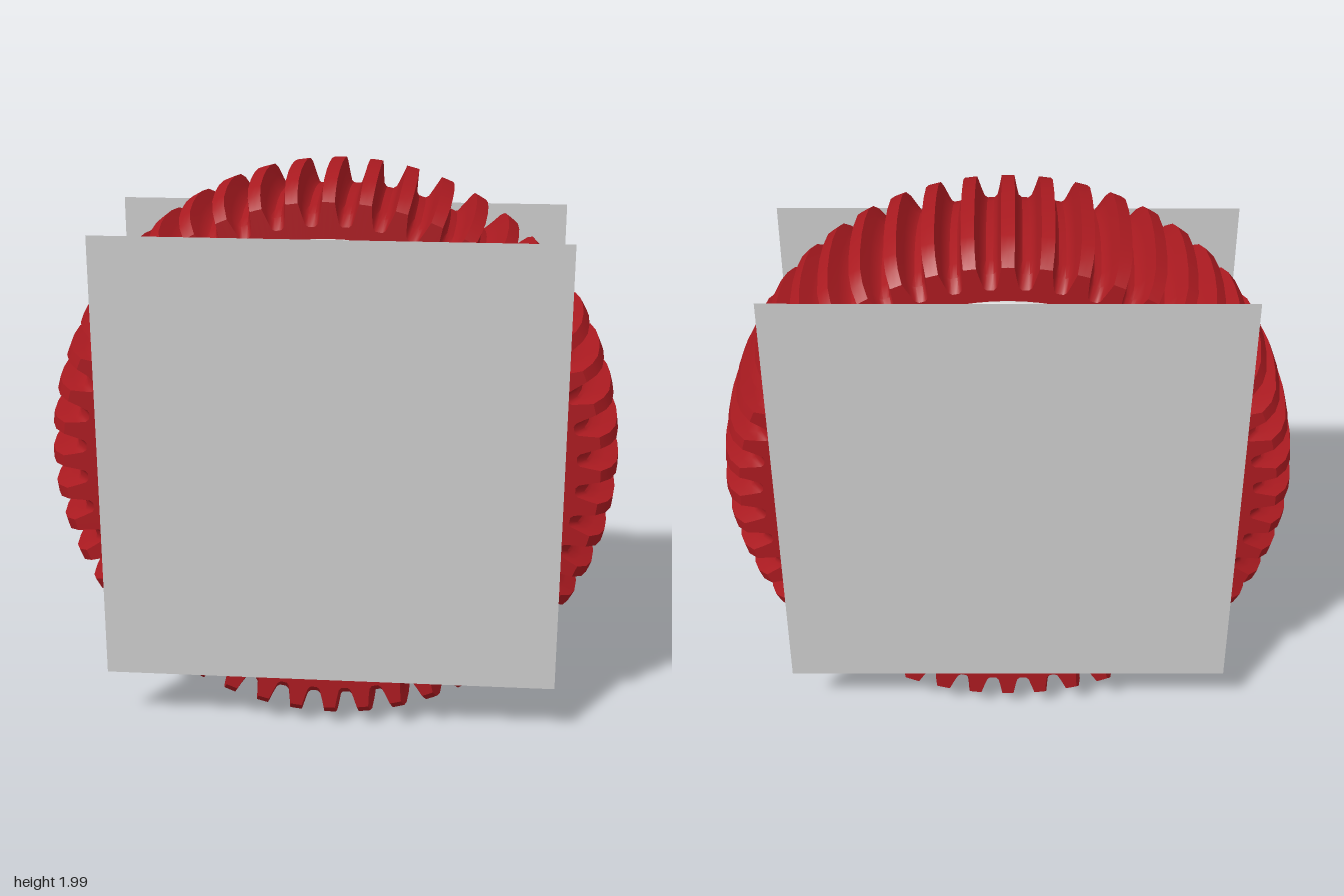
import * as THREE from 'three';
import { toCreasedNormals } from 'three/addons/utils/BufferGeometryUtils.js';

const TEETH = 48;

// One tooth around the rim: [fraction of the pitch, height from groove 0 to tip 1]
const TOOTH = [[-0.17, 1], [0, 1], [0.17, 1], [0.24, 0.5], [0.31, 0.12], [0.4, 0],
  [0.5, 0], [0.6, 0], [0.69, 0.12], [0.76, 0.5]];

// Half of the cross-section from the side to the middle: [z, groove radius, tip radius]
const HALF = [[0.3, 0.79, 0.79], [0.3, 0.84, 0.92], [0.26, 0.875, 0.957],
  [0.2, 0.892, 0.98], [0.1, 0.905, 0.993], [0, 0.91, 0.997]];

function treadGeometry() {
  const section = [
    ...HALF.map(([z, g, t]) => [-z, g, t]),
    ...HALF.slice(0, -1).reverse(),
  ];
  const rows = section.length;
  const columns = TEETH * TOOTH.length;
  const positions = [];
  const indices = [];
  for (let i = 0; i < columns; i++) {
    const [f, h] = TOOTH[i % TOOTH.length];
    const angle = ((Math.floor(i / TOOTH.length) + f) / TEETH) * Math.PI * 2;
    for (const [z, groove, tip] of section) {
      const r = groove + (tip - groove) * h;
      positions.push(r * Math.sin(angle), r * Math.cos(angle), z);
    }
    const next = (i + 1) % columns;
    for (let k = 0; k < rows - 1; k++) {
      const a = i * rows + k;
      const b = next * rows + k;
      indices.push(a, a + 1, b, b, a + 1, b + 1);
    }
  }
  const geometry = new THREE.BufferGeometry();
  geometry.setAttribute('position', new THREE.Float32BufferAttribute(positions, 3));
  geometry.setIndex(indices);
  return toCreasedNormals(geometry, 0.75);
}

export function createModel() {
  const model = new THREE.Group();
  model.name = 'wheel';
  const red = new THREE.MeshStandardMaterial({ color: 0xaa1a20 });
  const grey = new THREE.MeshStandardMaterial({ color: 0xcccccc, side: THREE.DoubleSide });

  const add = (name, geometry, material) => {
    const mesh = new THREE.Mesh(geometry, material);
    mesh.name = name;
    mesh.position.y = 1;
    model.add(mesh);
    return mesh;
  };

  // Ribbed tyre
  add('tyre', treadGeometry(), red);

  // Rim barrel with softened lips
  const profile = [[0.72, -0.31], [0.785, -0.316], [0.797, -0.31], [0.8, -0.298],
    [0.8, 0.298], [0.797, 0.31], [0.785, 0.316], [0.72, 0.31]];
  const rim = add('rim',
    toCreasedNormals(new THREE.LatheGeometry(profile.map(([r, y]) => new THREE.Vector2(r, y)), 96), 0.9),
    grey);
  rim.rotation.x = Math.PI / 2;

  // Flat square panel on each side
  for (const side of [1, -1]) {
    const panel = add(side > 0 ? 'frontPanel' : 'backPanel', new THREE.PlaneGeometry(1.6, 1.6), grey);
    panel.position.z = side * 0.318;
    if (side < 0) panel.rotation.y = Math.PI;
  }
  return model;
}
